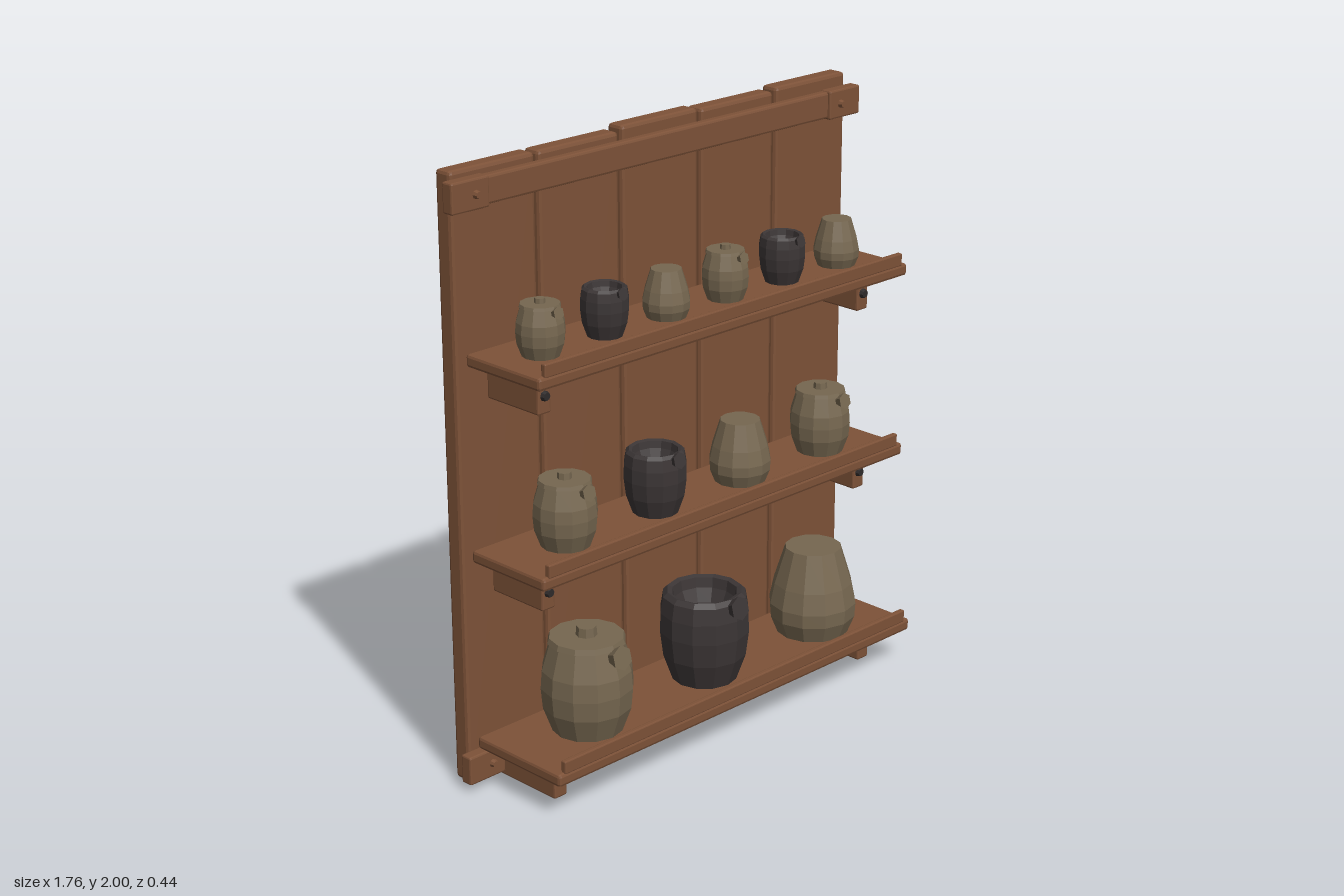
import * as THREE from 'three';
import { RoundedBoxGeometry } from 'three/addons/geometries/RoundedBoxGeometry.js';

const mat = (name, color) => new THREE.MeshStandardMaterial({ name, color, flatShading: true });

export function createModel() {
  const wood = mat('wood', 0x7d5238);
  const clay = mat('clay', 0x766750);
  const darkClay = mat('darkClay', 0x3b3535);
  const iron = mat('iron', 0x2e2a2a);
  const root = new THREE.Group();
  root.name = 'potShelf';

  const add = (parent, name, geometry, material, x = 0, y = 0, z = 0) => {
    const mesh = new THREE.Mesh(geometry, material);
    mesh.name = name;
    mesh.position.set(x, y, z);
    parent.add(mesh);
    return mesh;
  };

  // Chamfered board given by its extents
  const board = (name, x0, x1, y0, y1, z0, z1, bevel = 0.008) =>
    add(root, name, new RoundedBoxGeometry(x1 - x0, y1 - y0, z1 - z0, 1, bevel), wood,
      (x0 + x1) / 2, (y0 + y1) / 2, (z0 + z1) / 2);

  // Round fastener head facing forward
  const stud = (name, r, depth, material, x, y, z) => {
    const m = add(root, name, new THREE.CylinderGeometry(r * 0.75, r, depth, 8), material, x, y, z + depth / 2);
    m.rotation.x = Math.PI / 2;
  };

  // Back planks of uneven length: [bottom, top]
  [[0.01, 1.98], [0.015, 1.98], [0, 1.995], [0.005, 1.99], [0, 2]].forEach(([y0, y1], i) => {
    const x = (i - 2) * 0.343;
    board('backPlank', x - 0.165, x + 0.165, y0, y1, -0.222, -0.157, 0.012);
  });

  // Cross rails with end plates and pegs
  for (const y of [0.073, 1.91]) {
    board('crossRail', -0.875, 0.875, y - 0.044, y + 0.044, -0.16, -0.125);
    for (const s of [-1, 1]) {
      const a = s * 0.735, b = s * 0.88;
      board('railEndPlate', Math.min(a, b), Math.max(a, b), y - 0.048, y + 0.048, -0.158, -0.115, 0.006);
      stud('railPeg', 0.014, 0.014, wood, s * 0.787, y, -0.115);
    }
  }

  // Shelves: y of the upper face, front edge, bracket foot and bracket front
  const shelves = [
    { y: 1.42, front: 0.168, foot: 1.26, reach: 0.07 },
    { y: 0.79, front: 0.168, foot: 0.63, reach: 0.07 },
    { y: 0.16, front: 0.222, foot: 0.006, reach: 0.108 },
  ];
  for (const { y, front, foot, reach } of shelves) {
    board('shelf', -0.812, 0.812, y - 0.042, y, -0.157, front, 0.01);
    board('shelfLip', -0.787, 0.787, y - 0.005, y + 0.038, front - 0.02, front - 0.001, 0.004);
    for (const s of [-1, 1]) {
      const x = s * 0.705;
      board('shelfBracket', x - 0.026, x + 0.026, foot, y - 0.036, -0.157, reach, 0.006);
      stud('bracketBolt', 0.017, 0.012, iron, x, foot + 0.058, reach);
    }
  }

  // Pot profiles as [radius, height], for a widest radius of 1
  const profiles = {
    lidded: [[0, 0], [0.76, 0], [0.96, 0.55], [1, 1.0], [0.97, 1.4], [0.78, 2.04], [0, 2.04]],
    open: [[0, 0], [0.72, 0], [0.93, 0.6], [1, 1.15], [0.99, 1.6], [0.93, 1.97], [0.83, 2.07],
      [0.72, 2.03], [0.68, 1.8], [0.55, 1.5], [0, 1.5]],
    plain: [[0, 0], [0.82, 0], [0.98, 0.4], [1, 0.72], [0.9, 1.2], [0.64, 2.04], [0, 2.04]],
  };

  const pot = (kind, x, y, z, size) => {
    const g = new THREE.Group();
    g.name = kind + 'Pot';
    const m = kind === 'open' ? darkClay : clay;
    add(g, 'potBody', new THREE.LatheGeometry(profiles[kind].map(([r, h]) => new THREE.Vector2(r, h)), 12), m);
    if (kind === 'lidded') {
      add(g, 'lid', new THREE.CylinderGeometry(0.8, 0.84, 0.12, 12), m, 0, 2.07, 0);
      add(g, 'lidKnob', new THREE.CylinderGeometry(0.21, 0.23, 0.22, 8), m, 0, 2.22, 0);
    }
    if (kind !== 'plain') {
      // Six-sided spout flaring forward
      const spout = add(g, 'spout', new THREE.CylinderGeometry(0.27, 0.13, 0.34, 6), m, 0, 1.9, 0.92);
      spout.rotation.x = Math.PI / 2 - 0.25;
    }
    g.position.set(x, y, z);
    g.scale.setScalar(size);
    root.add(g);
  };

  // Rows of pots, repeating the three kinds
  const kinds = ['lidded', 'open', 'plain'];
  const rows = [
    { n: 6, x: -0.66, step: 0.26, y: 1.42, z: 0.008, size: 0.076 },
    { n: 4, x: -0.577, step: 0.383, y: 0.79, z: 0.01, size: 0.102 },
    { n: 3, x: -0.522, step: 0.521, y: 0.16, z: 0.037, size: 0.149 },
  ];
  for (const { n, x, step, y, z, size } of rows)
    for (let i = 0; i < n; i++) pot(kinds[i % 3], x + i * step, y, z, size);

  return root;
}
